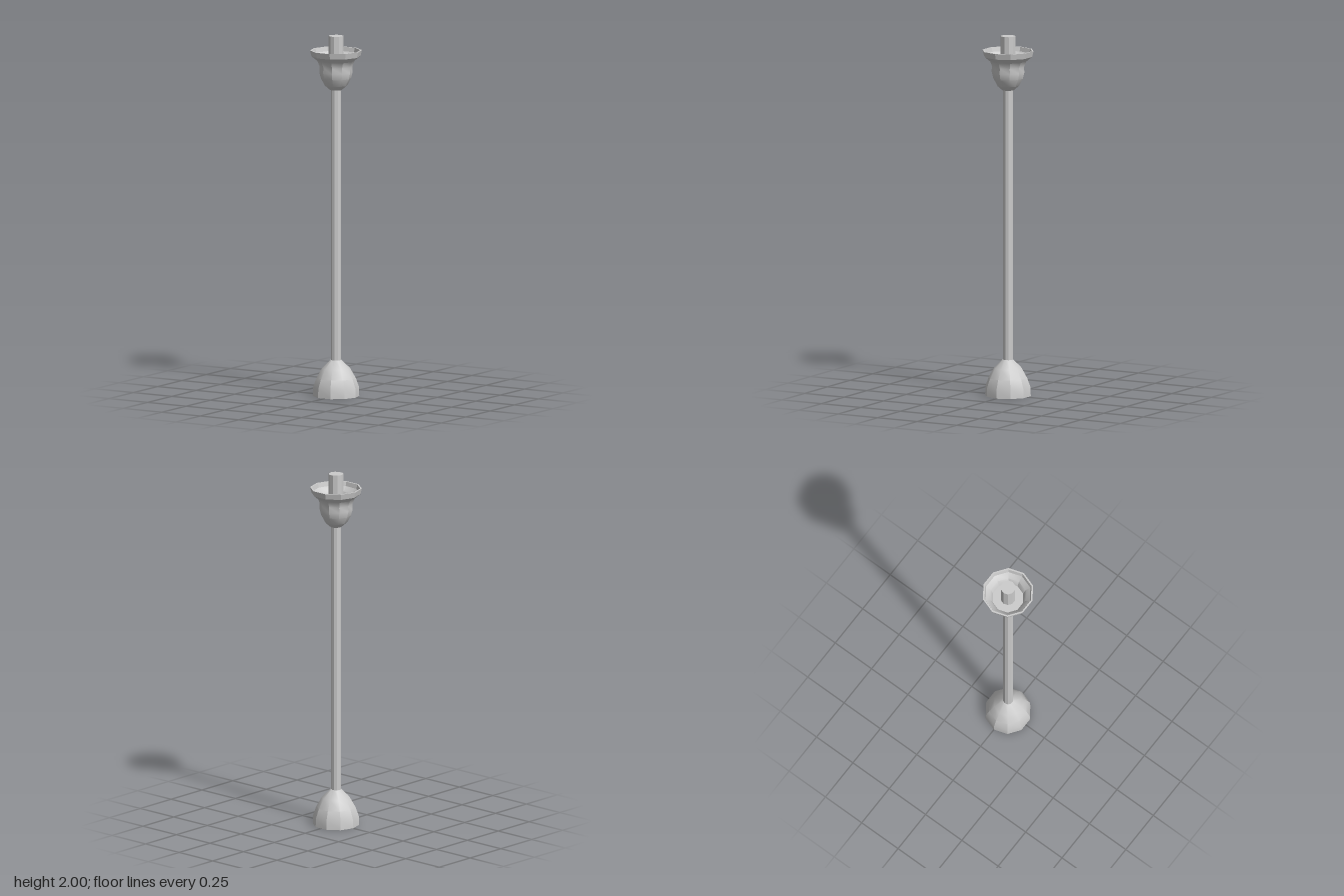
import * as THREE from 'three';
import { toCreasedNormals } from 'three/addons/utils/BufferGeometryUtils.js';

const SIDES = 10;

export function createModel() {
  const group = new THREE.Group();
  const material = new THREE.MeshStandardMaterial({ color: 0xcccccc, side: THREE.DoubleSide });

  // Ten-sided turned part from [radius, height] pairs, with a corner on the x axis
  function turned(name, profile) {
    const points = profile.map(([r, y]) => new THREE.Vector2(r, y));
    const lathe = new THREE.LatheGeometry(points, SIDES, Math.PI / 2);
    const mesh = new THREE.Mesh(toCreasedNormals(lathe, THREE.MathUtils.degToRad(33)), material);
    mesh.name = name;
    group.add(mesh);
  }

  // Hollow bell-shaped foot, open underneath
  turned('base', [[0.128, 0], [0.126, 0.05], [0.108, 0.1], [0.078, 0.153], [0.03, 0.2], [0, 0.2]]);

  // Slender pole
  turned('pole', [[0, 0.199], [0.028, 0.199], [0.028, 1.71], [0, 1.71]]);

  // Flared cup: outer wall, rim, then inner wall down to the floor
  turned('cup', [
    [0, 1.7], [0.033, 1.7], [0.062, 1.725], [0.083, 1.765], [0.092, 1.8], [0.09, 1.83],
    [0.103, 1.862], [0.135, 1.888], [0.143, 1.92],
    [0.134, 1.92], [0.128, 1.896], [0.1, 1.872], [0.087, 1.83], [0, 1.83],
  ]);

  // Candle stub standing in the cup
  turned('candle', [[0.041, 1.825], [0.041, 2], [0, 2]]);

  return group;
}
